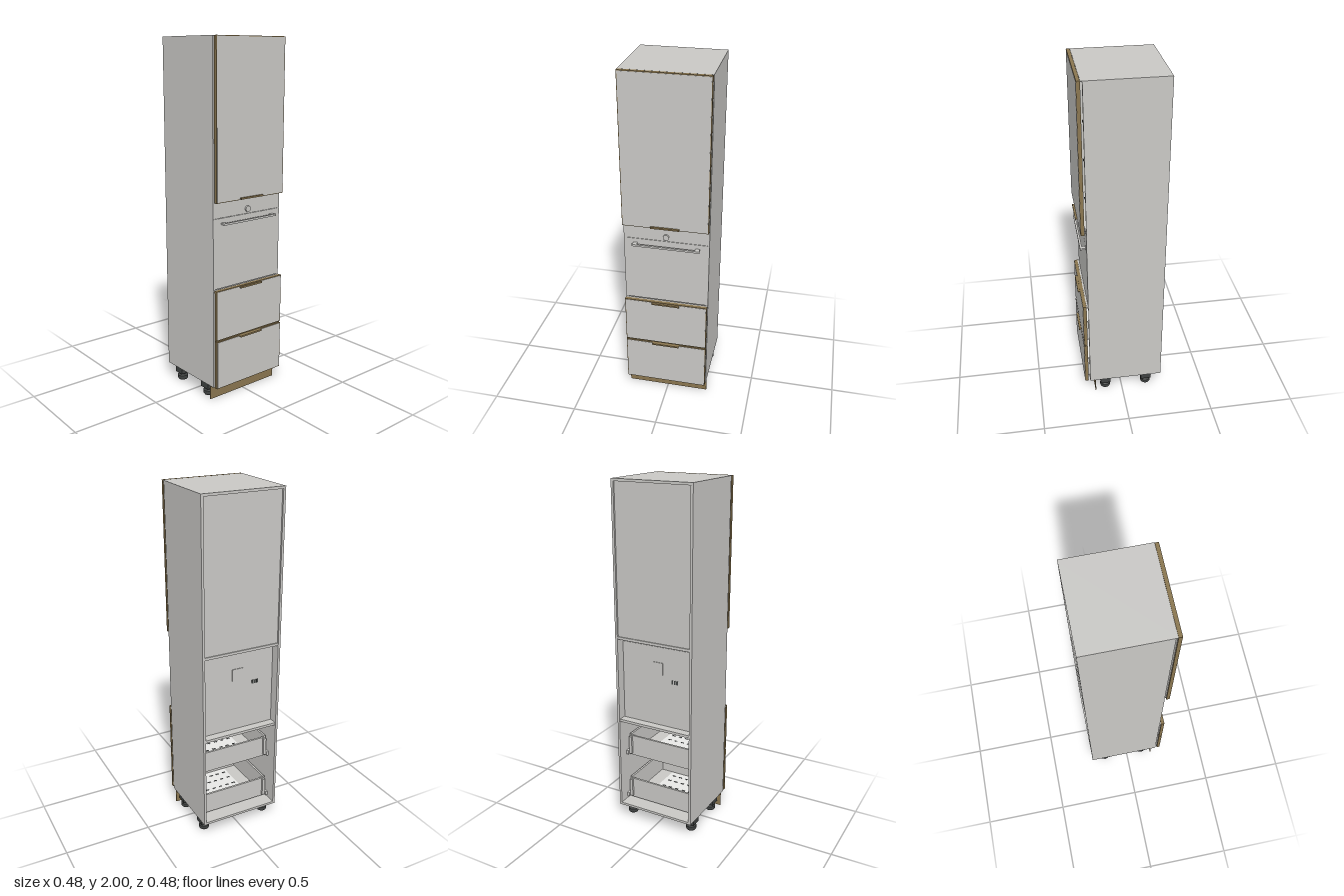
import * as THREE from 'three';

export function createModel() {
  const root = new THREE.Group();
  root.name = 'tallOvenCabinet';
  const mat = (name, color) => {
    const m = new THREE.MeshStandardMaterial({ color });
    m.name = name;
    return m;
  };
  const grey = mat('light grey panel', 0xc9c8c5);
  const wood = mat('brown edge', 0x8a7650);
  const dark = mat('dark plastic', 0x3f4241);
  const white = mat('white drawer base', 0xececea);

  const add = (name, geo, m, parent = root) => {
    const mesh = new THREE.Mesh(geo, m);
    mesh.name = name;
    parent.add(mesh);
    return mesh;
  };
  // Box given by its extents
  const box = (name, m, x0, x1, y0, y1, z0, z1, parent = root) => {
    const mesh = add(name, new THREE.BoxGeometry(x1 - x0, y1 - y0, z1 - z0), m, parent);
    mesh.position.set((x0 + x1) / 2, (y0 + y1) / 2, (z0 + z1) / 2);
    return mesh;
  };

  // Carcass
  const W = 0.24, T = 0.014, IN = W - T, BACK = -0.241, FRONT = 0.196, BASE = 0.083;
  for (const s of [-1, 1]) {
    const a = s * W, b = s * IN;
    box('sidePanel', grey, Math.min(a, b), Math.max(a, b), BASE, 2, BACK, FRONT);
  }
  box('topPanel', grey, -IN, IN, 2 - T, 2, BACK, FRONT);
  box('topLip', grey, -W, W, 1.996, 2, FRONT, 0.206);
  box('bottomPanel', grey, -IN, IN, BASE, BASE + T, BACK, FRONT);
  box('upperShelf', grey, -IN, IN, 1.13, 1.145, BACK + 0.004, FRONT);
  box('ovenShelf', grey, -IN, IN, 0.63, 0.645, BACK + 0.004, FRONT);
  box('upperBackPanel', grey, -IN, IN, 1.145, 2 - T, BACK + 0.01, BACK + 0.018);
  box('shelfLip', grey, -W, W, 0.65, 0.656, FRONT, 0.206);

  // Door and drawer fronts: brown core, grey face plates
  const frontPanel = (name, y0, y1, handleY) => {
    const g = new THREE.Group();
    g.name = name;
    root.add(g);
    const e = 0.004;
    box('edgeBand', wood, -0.239, 0.238, y0, y1, 0.207, 0.2255, g);
    box('face', grey, -0.239 + e, 0.238 - e, y0 + e, y1 - e, 0.2255, 0.227, g);
    box('innerFace', grey, -0.239 + e, 0.238 - e, y0 + e, y1 - e, 0.2055, 0.207, g);
    box('handlePlate', wood, -0.08, 0.08, handleY, handleY + 0.004, 0.2255, 0.2385, g);
    box('handleLip', wood, -0.08, 0.08, handleY - 0.005, handleY + 0.004, 0.2365, 0.2385, g);
  };
  frontPanel('upperDoor', 1.143, 2, 1.151);
  frontPanel('upperDrawerFront', 0.373, 0.657, 0.65);
  frontPanel('lowerDrawerFront', 0.085, 0.364, 0.36);
  box('drawerRail', wood, -0.238, 0.238, 0.364, 0.373, 0.208, 0.216);
  for (const y of [1.36, 1.58, 1.79])
    for (const x of [-0.215, 0.215])
      box('doorBumper', dark, x - 0.005, x + 0.005, y - 0.005, y + 0.005, FRONT, 0.199);

  // Oven
  const oven = new THREE.Group();
  oven.name = 'oven';
  root.add(oven);
  const OB = -0.19;
  box('ovenBody', grey, -IN + 0.003, IN - 0.003, 0.645, 1.11, OB, 0.186, oven);
  box('ovenDoor', grey, -W, W, 0.66, 1.052, 0.186, 0.197, oven);
  box('controlPanel', grey, -W, W, 1.054, 1.14, 0.186, 0.197, oven);
  const knob = add('knob', new THREE.CylinderGeometry(0.017, 0.017, 0.011, 32), grey, oven);
  knob.rotation.x = Math.PI / 2;
  knob.position.set(0, 1.08, 0.2015);
  box('ovenHandle', grey, -0.19, 0.19, 1.017, 1.028, 0.216, 0.2275, oven);
  for (const x of [-0.175, 0.175])
    box('handlePost', grey, x - 0.012, x + 0.012, 1.018, 1.027, 0.197, 0.217, oven);
  box('rearCover', grey, -0.035, 0.035, 0.95, 1.02, OB - 0.004, OB, oven);
  for (const x of [-0.125, -0.11, -0.095])
    box('rearSlot', dark, x - 0.005, x + 0.005, 0.908, 0.93, OB - 0.002, OB, oven);

  // Drawer boxes
  for (const y of [0.39, 0.105]) {
    const d = new THREE.Group();
    d.name = 'drawerBox';
    root.add(d);
    const zb = -0.16, w = 0.205, top = y + 0.135;
    box('drawerBase', grey, -w, w, y, y + 0.012, zb, 0.2, d);
    box('drawerLiner', white, -0.12, 0.12, y + 0.012, y + 0.014, -0.06, 0.19, d);
    box('drawerBack', grey, -w, w, y, y + 0.125, zb, zb + 0.012, d);
    for (const s of [-1, 1]) {
      const side = box('drawerSide', grey, -0.006, 0.006, y, top, zb, 0.2055, d);
      side.position.x = s * w;
      const bracket = box('backBracket', grey, -0.009, 0.009, y + 0.01, top - 0.015, zb - 0.012, zb, d);
      bracket.position.x = s * (w - 0.004);
      const runner = box('runner', grey, -0.007, 0.007, y + 0.005, y + 0.03, zb - 0.02, 0.19, d);
      runner.position.x = s * 0.218;
    }
    // Dark slots in the liner
    for (let i = 0; i < 5; i++)
      for (const z of [0.02, 0.09, 0.15])
        box('linerSlot', dark, -0.105 + i * 0.045, -0.085 + i * 0.045, y + 0.014, y + 0.0155, z, z + 0.008, d);
  }

  // Plinth
  box('plinth', wood, -W, W, 0, BASE, 0.161, 0.165);

  // Feet: square mount, threaded neck and flared pad
  const profile = [[0, 0], [0.026, 0], [0.031, 0.008], [0.031, 0.026], [0.02, 0.032], [0.02, 0.05], [0, 0.05]]
    .map(([r, h]) => new THREE.Vector2(r, h));
  const padGeo = new THREE.LatheGeometry(profile, 12).toNonIndexed();
  padGeo.computeVertexNormals();
  for (const x of [-0.2, 0.2])
    for (const z of [0.1, -0.152]) {
      const foot = new THREE.Group();
      foot.name = 'foot';
      foot.position.set(x, 0, z);
      root.add(foot);
      add('footPad', padGeo, dark, foot);
      box('footMount', dark, -0.031, 0.031, 0.043, BASE, -0.031, 0.031, foot);
    }
  return root;
}
